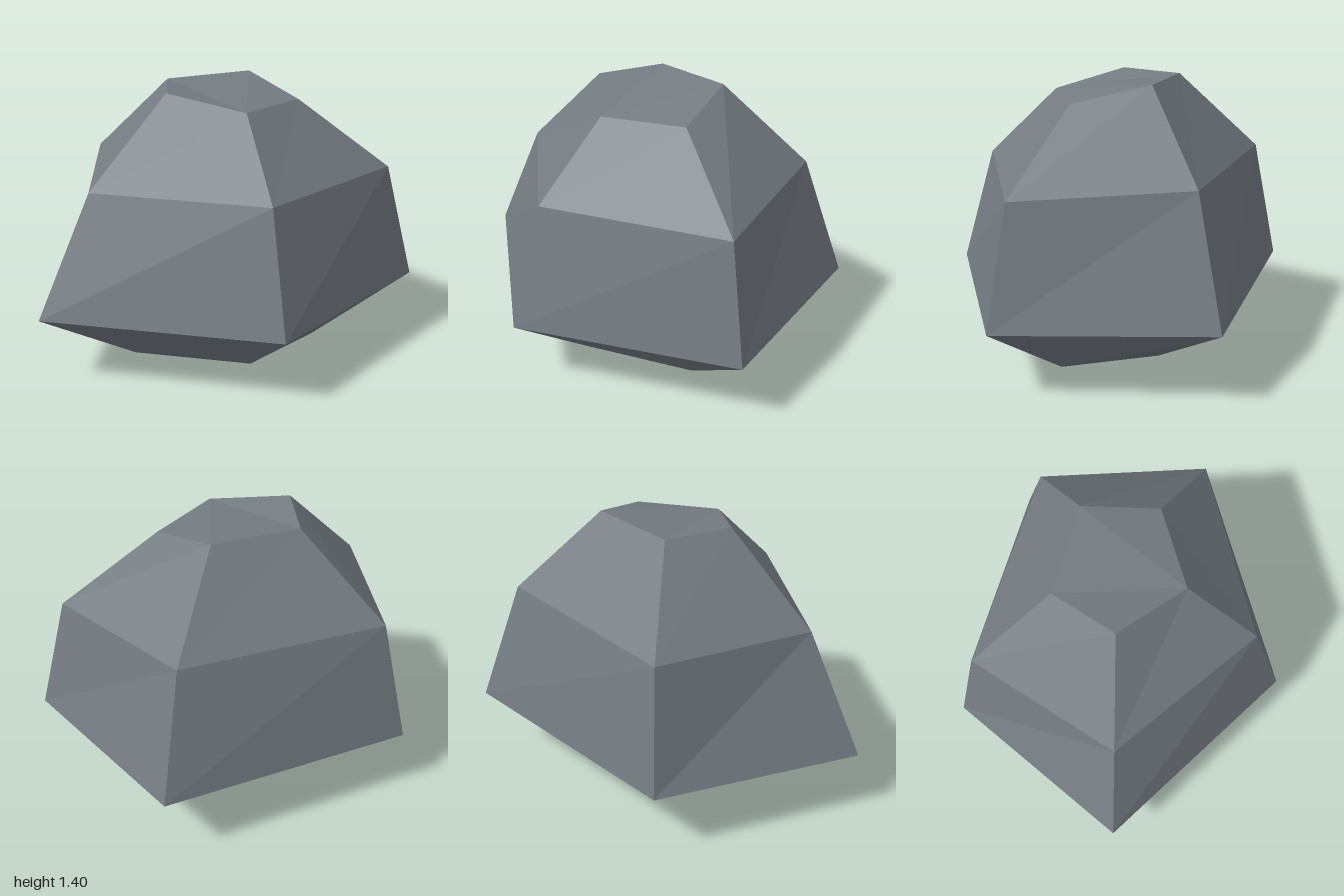
import * as THREE from 'three';

// Five-cornered cross-sections, bottom to top; corners run front, right, back right, back left, left
const RINGS = [
  [[0.03, 0.05, 0.39], [0.49, 0, 0.04], [0.32, 0.07, -0.41], [-0.29, 0.015, -0.38], [-0.5, 0.05, 0.1]],
  [[0.06, 0.35, 0.82], [1, 0.355, 0.17], [0.655, 0.38, -0.83], [-0.62, 0.36, -0.74], [-1, 0.35, 0.24]],
  [[0.05, 0.955, 0.64], [0.86, 0.95, 0.13], [0.52, 1, -0.66], [-0.52, 0.98, -0.64], [-0.72, 0.95, 0.16]],
  [[0.04, 1.315, 0.265], [0.39, 1.315, 0.025], [0.24, 1.405, -0.33], [-0.21, 1.39, -0.31], [-0.3, 1.385, 0.03]],
];

function loftGeometry(rings) {
  const n = rings[0].length;
  const index = [];
  // Sides
  for (let r = 0; r < rings.length - 1; r++) {
    for (let i = 0; i < n; i++) {
      const a = r * n + i;
      const b = r * n + (i + 1) % n;
      index.push(a, b, b + n, a, b + n, a + n);
    }
  }
  // Bottom and top caps
  const top = (rings.length - 1) * n;
  for (let i = 1; i < n - 1; i++) {
    index.push(0, i + 1, i);
    index.push(top, top + i, top + i + 1);
  }
  const indexed = new THREE.BufferGeometry();
  indexed.setAttribute('position', new THREE.Float32BufferAttribute(rings.flat(2), 3));
  indexed.setIndex(index);
  // Separate faces keep every facet flat
  const geometry = indexed.toNonIndexed();
  geometry.computeVertexNormals();
  return geometry;
}

export function createModel() {
  const group = new THREE.Group();
  group.name = 'boulder';
  const stone = new THREE.MeshStandardMaterial({ color: 0x757c82, flatShading: true });
  stone.name = 'grey stone';
  const rock = new THREE.Mesh(loftGeometry(RINGS), stone);
  rock.name = 'rock';
  group.add(rock);
  return group;
}
